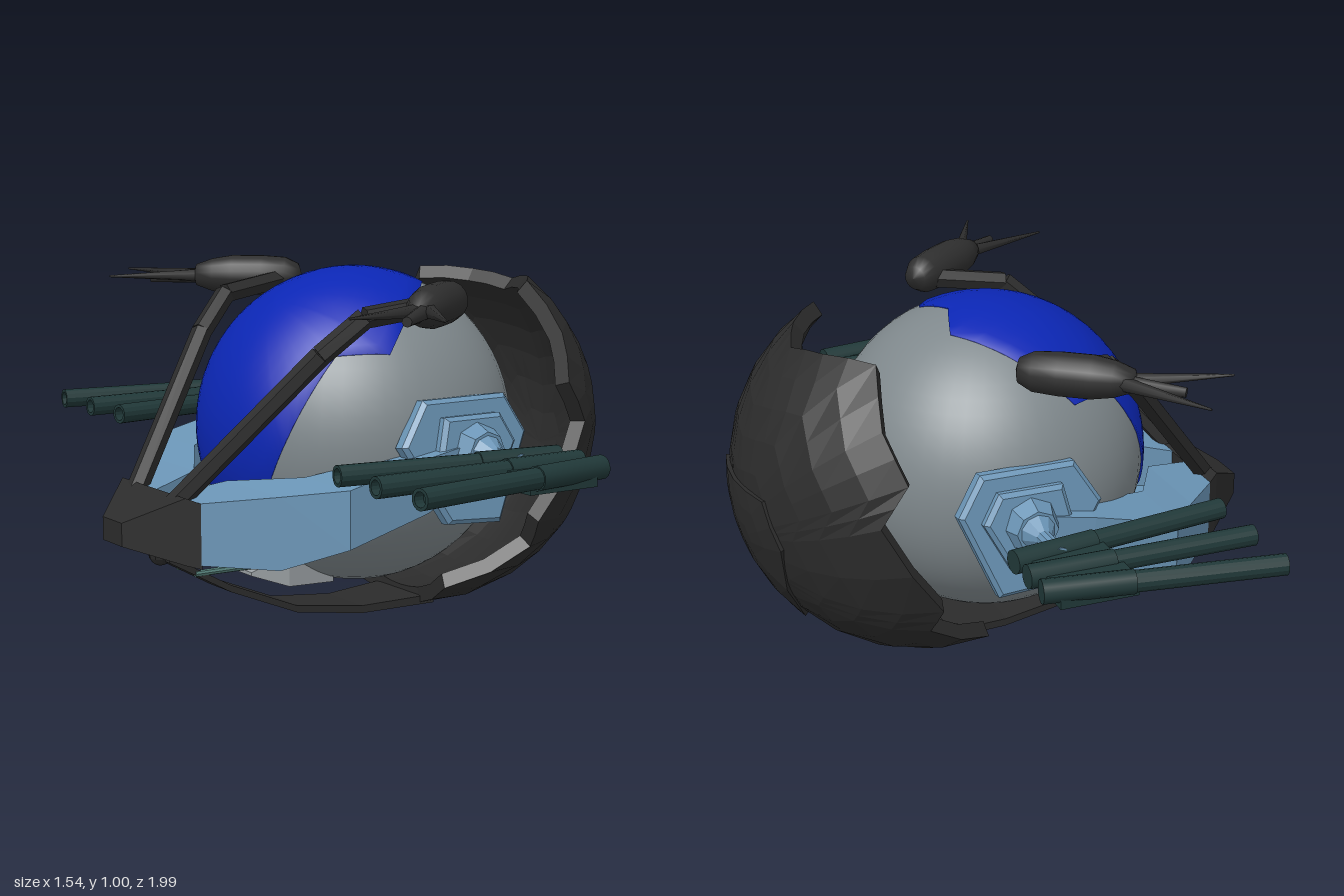
import * as THREE from 'three';
import { ConvexGeometry } from 'three/addons/geometries/ConvexGeometry.js';

const V = (x, y, z) => new THREE.Vector3(x, y, z);
const mat = (color, flatShading = true) =>
  new THREE.MeshStandardMaterial({ color, flatShading, side: THREE.DoubleSide });
const M = {
  hull: mat(0x7f888c, false), glass: mat(0x0b26b4, false), dark: mat(0x2b2b2b),
  frame: mat(0x6a94b5), gun: mat(0x203838), barrel: mat(0x203838, false),
  pod: mat(0x2e2e2e, false), teal: mat(0x56807a), pale: mat(0x9aa0a3),
};

function add(parent, name, geometry, material) {
  const mesh = new THREE.Mesh(geometry, material);
  mesh.name = name;
  parent.add(mesh);
  return mesh;
}

// Tapered bar between two points
function rod(parent, name, a, b, ra, rb, sides, material) {
  const mesh = add(parent, name, new THREE.CylinderGeometry(rb, ra, a.distanceTo(b), sides), material);
  mesh.position.copy(a).lerp(b, 0.5);
  mesh.quaternion.setFromUnitVectors(V(0, 1, 0), b.clone().sub(a).normalize());
  return mesh;
}

// Solid through rectangular sections [x, yLow, yHigh, zIn, zOut]
function beam(parent, name, sections, material) {
  const corners = ([x, y0, y1, z0, z1]) => [V(x, y0, z0), V(x, y0, z1), V(x, y1, z0), V(x, y1, z1)];
  for (let i = 0; i + 1 < sections.length; i++) {
    add(parent, name, new ConvexGeometry([...corners(sections[i]), ...corners(sections[i + 1])]), material);
  }
}

// Full outline from one half: [x, y, z] with z >= 0, first and last on the centre plane
function mirrorOutline(half) {
  const back = half.slice(1, -1).reverse().map(([x, y, z]) => [x, y, -z]);
  return [...half, ...back].map((p) => V(...p));
}

// Patch of a sphere inside an outline; with a thickness it gets an inner skin and a rim
function spherePatch(center, radius, hub, outline, rings, steps, thickness = 0) {
  const c = hub.clone().sub(center).normalize();
  const edge = [];
  outline.forEach((p, i) => {
    const q = outline[(i + 1) % outline.length];
    for (let s = 0; s < steps; s++) edge.push(p.clone().lerp(q, s / steps).sub(center).normalize());
  });
  const pos = [], idx = [], n = edge.length;
  const skin = (r, flip) => {
    const base = pos.length / 3;
    for (let k = 0; k <= rings; k++) for (const e of edge) {
      const angle = c.angleTo(e) * k / rings;
      const side = e.clone().addScaledVector(c, -c.dot(e)).normalize();
      const d = c.clone().multiplyScalar(Math.cos(angle)).addScaledVector(side, Math.sin(angle));
      pos.push(...d.multiplyScalar(r).add(center).toArray());
    }
    for (let k = 0; k < rings; k++) for (let i = 0; i < n; i++) {
      const a = base + k * n + i, b = base + k * n + (i + 1) % n;
      const quad = [a, a + n, b + n, a, b + n, b];
      idx.push(...(flip ? quad.reverse() : quad));
    }
    return base + rings * n;
  };
  const outer = skin(radius, false);
  if (thickness) {
    const inner = skin(radius - thickness, true);
    for (let i = 0; i < n; i++) {
      const j = (i + 1) % n;
      idx.push(outer + i, inner + i, inner + j, outer + i, inner + j, outer + j);
    }
  }
  const g = new THREE.BufferGeometry();
  g.setAttribute('position', new THREE.Float32BufferAttribute(pos, 3));
  g.setIndex(idx);
  g.computeVertexNormals();
  return g;
}

function plate(points, depth) {
  const shape = new THREE.Shape(points.map(([x, y]) => new THREE.Vector2(x, y)));
  return new THREE.ExtrudeGeometry(shape, { depth, bevelEnabled: true, bevelSize: 0.012, bevelThickness: 0.012, bevelSegments: 1 });
}

// Everything that exists on both sides, built for +z
function buildSide() {
  const side = new THREE.Group();

  // Frame arm from the nose round to the gun mount
  beam(side, 'frameArm', [
    [-0.61, 0.24, 0.41, 0.04, 0.2], [-0.46, 0.24, 0.44, 0.09, 0.37], [-0.34, 0.31, 0.47, 0.3, 0.525],
    [-0.09, 0.38, 0.53, 0.42, 0.525], [0.17, 0.49, 0.57, 0.43, 0.5],
  ], M.frame);

  // Mount plates, leaning with the hull
  const mount = new THREE.Group();
  mount.name = 'gunMount';
  mount.position.set(0.08, 0.5, 0.44);
  mount.rotation.x = -0.12;
  add(mount, 'mountPlate', plate([[-0.13, 0.16], [0.13, 0.16], [0.19, 0.06], [0.09, -0.17], [-0.07, -0.16], [-0.2, 0.05]], 0.03), M.frame);
  add(mount, 'mountPad', plate([[-0.08, 0.11], [0.09, 0.11], [0.13, 0.04], [0.06, -0.09], [-0.04, -0.09], [-0.1, 0.03]], 0.06), M.frame);
  side.add(mount);
  rod(side, 'hub', V(0.09, 0.53, 0.5), V(0.09, 0.53, 0.55), 0.08, 0.06, 8, M.frame);
  rod(side, 'hubCone', V(0.09, 0.53, 0.55), V(0.09, 0.53, 0.59), 0.05, 0.022, 10, M.frame);
  rod(side, 'axle', V(0.09, 0.53, 0.57), V(0.09, 0.53, 0.7), 0.022, 0.022, 10, M.frame);

  // Three fanned barrels on a cradle
  add(side, 'gunCradle', new THREE.BoxGeometry(0.22, 0.05, 0.24), M.gun).position.set(0.07, 0.512, 0.785);
  for (const [z0, z1] of [[0.69, 0.6], [0.78, 0.78], [0.87, 0.965]]) {
    const rear = V(0.22, 0.53, z0), tip = V(-0.42, 0.53, z1);
    const mid = rear.clone().lerp(tip, 0.38);
    rod(side, 'gunBreech', rear, mid, 0.033, 0.033, 14, M.barrel);
    const tube = new THREE.LatheGeometry([[0, 0.38], [0.02, 0.38], [0.02, 0.41], [0.029, 0.41], [0.029, 0], [0, 0]]
      .map(([r, y]) => new THREE.Vector2(r, y)).reverse(), 14);
    const barrel = add(side, 'gunBarrel', tube, M.gun);
    barrel.position.copy(mid);
    barrel.quaternion.setFromUnitVectors(V(0, 1, 0), tip.clone().sub(rear).normalize());
  }

  // Bent support from the nose to the pod
  const path = [V(-0.65, 0.38, 0.1), V(-0.3, 0.8, 0.32), V(-0.19, 0.9, 0.37), V(0.04, 0.93, 0.41)];
  for (let i = 0; i < 3; i++) rod(side, 'podSupport', path[i], path[i + 1], 0.03, 0.03, 6, M.dark);

  // Rounded pod with three prongs
  const profile = [[0, 0], [0.035, 0.01], [0.055, 0.05], [0.06, 0.12], [0.06, 0.21], [0.05, 0.27], [0.032, 0.32], [0, 0.33]];
  const pod = add(side, 'pod', new THREE.LatheGeometry(profile.map(([r, y]) => new THREE.Vector2(r, y)), 16), M.pod);
  pod.position.set(0.09, 0.937, 0.39);
  pod.quaternion.setFromUnitVectors(V(0, 1, 0), V(-0.8, 0, 0.6));
  const root = V(-0.12, 0.935, 0.56);
  rod(side, 'prong', root, V(-0.26, 0.94, 0.84), 0.022, 0.003, 6, M.pod);
  rod(side, 'prong', root, V(-0.27, 0.925, 0.68), 0.024, 0.014, 8, M.pod);
  rod(side, 'prong', root, V(-0.425, 0.94, 0.65), 0.022, 0.003, 6, M.pod);

  // Small chin gun
  rod(side, 'chinBarrel', V(-0.22, 0.18, 0.05), V(-0.54, 0.18, 0.05), 0.011, 0.009, 8, M.teal);
  return side;
}

export function createModel() {
  const model = new THREE.Group();
  const core = V(0.02, 0.545, 0);

  // Round cabin and its canopy
  add(model, 'cabin', new THREE.SphereGeometry(0.45, 48, 32), M.hull).position.copy(core);
  const canopy = mirrorOutline([[0.13, 0.98, 0], [0.17, 0.95, 0.12], [-0.1, 0.795, 0.36], [-0.23, 0.79, 0.287],
    [-0.36, 0.57, 0.245], [-0.38, 0.45, 0.19], [-0.38, 0.38, 0.1], [-0.39, 0.37, 0]]);
  add(model, 'canopy', spherePatch(core, 0.456, V(-0.22, 0.87, 0), canopy, 10, 5, 0.01), M.glass);

  // Rear armour shell with a notched rim
  const shellCenter = V(0.22, 0.54, 0);
  const rim = mirrorOutline([[0.6, 0.945, 0], [0.56, 0.98, 0.14], [0.45, 0.98, 0.28], [0.48, 0.83, 0.41],
    [0.43, 0.69, 0.48], [0.5, 0.57, 0.46], [0.33, 0.3, 0.47], [0.35, 0.21, 0.42], [0.13, 0.1, 0.3],
    [0.18, 0.01, 0.1], [0.18, 0.01, 0]]);
  add(model, 'rearShell', spherePatch(shellCenter, 0.54, V(0.72, 0.42, 0), rim, 6, 2, 0.045), M.dark);
  const hatch = mirrorOutline([[0.75, 0.57, 0], [0.73, 0.57, 0.17], [0.71, 0.44, 0.23], [0.6, 0.17, 0.1], [0.61, 0.17, 0]]);
  add(model, 'rearHatch', spherePatch(shellCenter, 0.55, V(0.74, 0.4, 0), hatch, 3, 2, 0.03), M.dark);

  // Keel strap under the cabin
  beam(model, 'keel', [[0.22, 0.01, 0.035, -0.12, 0.12], [-0.01, 0.003, 0.025, -0.09, 0.09], [-0.22, 0.03, 0.05, -0.07, 0.07],
    [-0.43, 0.115, 0.135, -0.06, 0.06], [-0.62, 0.22, 0.24, -0.05, 0.05]], M.dark);

  // Nose block and chin
  beam(model, 'nose', [[-0.768, 0.285, 0.35, -0.055, 0.055], [-0.64, 0.24, 0.425, -0.18, 0.18], [-0.605, 0.23, 0.41, -0.205, 0.205]], M.dark);
  add(model, 'noseKnob', new THREE.SphereGeometry(0.035, 10, 8), M.dark).position.set(-0.62, 0.24, 0);
  beam(model, 'chin', [[-0.61, 0.24, 0.3, -0.16, 0.16], [-0.44, 0.24, 0.3, -0.28, 0.28], [-0.3, 0.28, 0.34, -0.3, 0.3]], M.frame);

  // Turret housing below the cabin
  beam(model, 'chinTurret', [[-0.37, 0.155, 0.165, -0.07, 0.07], [-0.27, 0.12, 0.215, -0.11, 0.11], [-0.11, 0.11, 0.16, -0.09, 0.09]], M.pale);

  // Left and right equipment
  for (const s of [1, -1]) {
    const side = buildSide();
    side.name = s > 0 ? 'frontSideEquipment' : 'backSideEquipment';
    side.scale.z = s;
    model.add(side);
  }
  return model;
}
